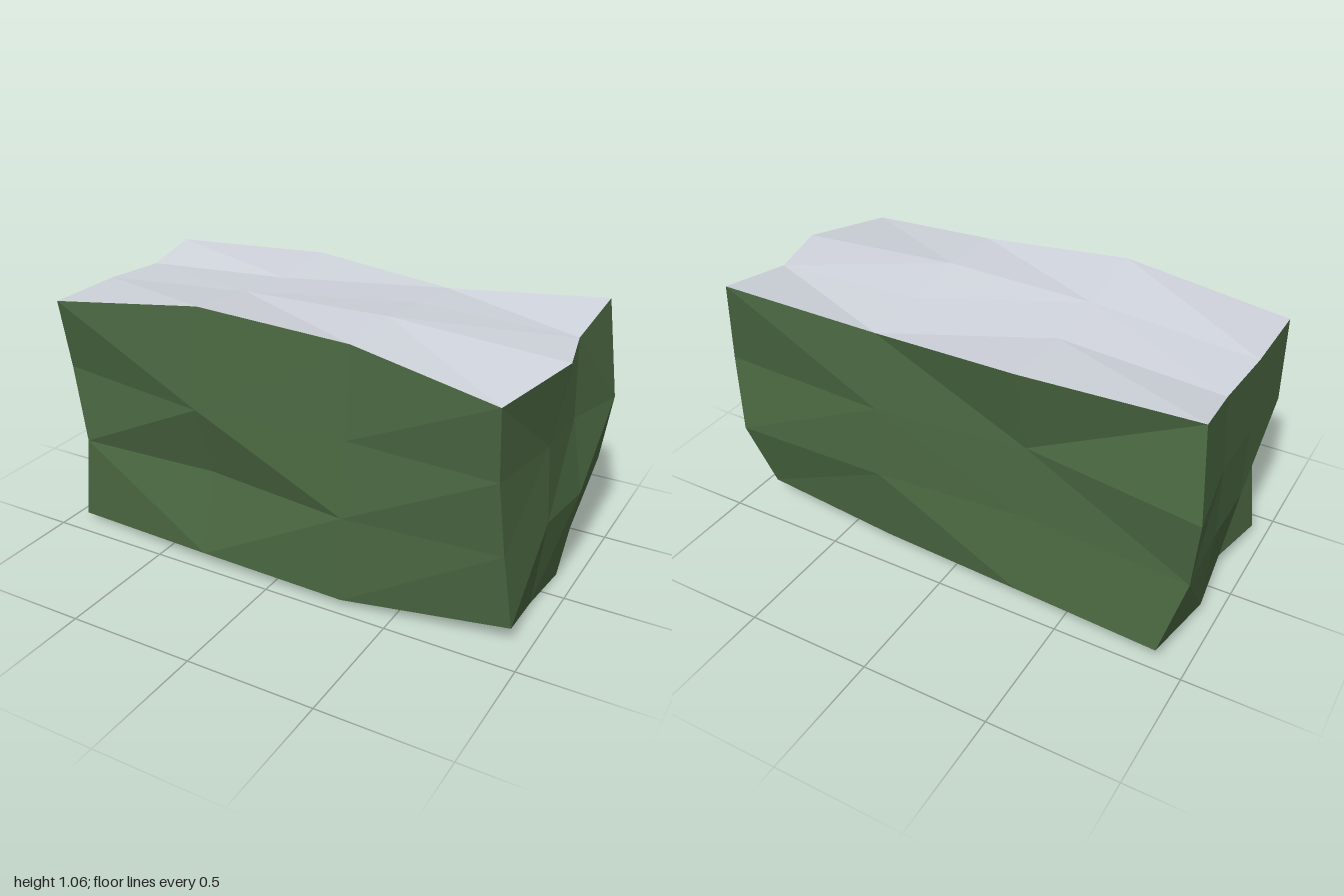
import * as THREE from 'three';

// Regular grid positions along x, y and z
const GRID = [
  [-0.95, -0.3, 0.3, 0.95],
  [0.03, 0.375, 0.67, 1],
  [-0.43, -0.14, 0.12, 0.43],
];

// Rough depth of each side over its 4 x 4 grid points
const RIGHT_END = [ // x, rows from bottom to top, each back to front
  -0.89, -0.93, -0.9, -0.94,
  -0.97, -0.95, -0.95, -0.89,
  -1, -0.95, -0.95, -0.97,
  -0.95, -0.93, -0.95, -0.95,
];
const LEFT_END = [
  0.89, 0.92, 0.91, 0.93,
  0.95, 0.98, 0.95, 0.9,
  1, 0.93, 0.93, 0.88,
  0.93, 0.92, 0.98, 0.88,
];
const BOTTOM = [ // y, rows from back to front, each from -x to +x
  0.07, 0.06, 0.05, 0.08,
  0.03, 0.03, 0.03, 0,
  0.06, 0.03, 0.03, 0.02,
  0.02, 0.05, 0.03, 0.07,
];
const TOP = [
  1, 1.02, 0.98, 1.03,
  0.96, 1, 1, 0.98,
  0.97, 1.02, 1.03, 0.99,
  0.97, 1.06, 1.02, 0.95,
];
const BACK = [ // z, rows from -x to +x, each bottom to top
  -0.48, -0.43, -0.47, -0.38,
  -0.44, -0.39, -0.37, -0.45,
  -0.4, -0.44, -0.43, -0.4,
  -0.37, -0.45, -0.4, -0.46,
];
const FRONT = [
  0.41, 0.42, 0.38, 0.45,
  0.47, 0.39, 0.48, 0.44,
  0.46, 0.46, 0.43, 0.4,
  0.37, 0.41, 0.45, 0.48,
];
const SIDES = [[RIGHT_END, LEFT_END], [BOTTOM, TOP], [BACK, FRONT]];

// A point is pushed only along the axes of the sides it lies on
function gridPoint(index) {
  const coords = index.map((n, axis) => {
    if (n === 1 || n === 2) return GRID[axis][n];
    return SIDES[axis][n / 3][index[(axis + 1) % 3] * 4 + index[(axis + 2) % 3]];
  });
  return new THREE.Vector3(...coords);
}

// One side of the block: nine quads, each split along its shorter diagonal
function addSide(out, axis, level) {
  const u = (axis + 1) % 3, v = (axis + 2) % 3;
  for (let s = 0; s < 3; s++) {
    for (let t = 0; t < 3; t++) {
      const quad = [[0, 0], [1, 0], [1, 1], [0, 1]].map(([ds, dt]) => {
        const index = [];
        index[axis] = level;
        index[u] = s + ds;
        index[v] = t + dt;
        return gridPoint(index);
      });
      if (level === 0) quad.reverse();
      const [a, b, c, d] = quad;
      const corners = a.distanceTo(c) <= b.distanceTo(d) ? [a, b, c, a, c, d] : [a, b, d, b, c, d];
      for (const p of corners) out.push(p.x, p.y, p.z);
    }
  }
}

function buildPart(name, material, sides) {
  const positions = [];
  for (const [axis, level] of sides) addSide(positions, axis, level);
  const geometry = new THREE.BufferGeometry();
  geometry.setAttribute('position', new THREE.Float32BufferAttribute(positions, 3));
  geometry.computeVertexNormals(); // unshared corners give flat facets
  const mesh = new THREE.Mesh(geometry, material);
  mesh.name = name;
  return mesh;
}

export function createModel() {
  const green = new THREE.MeshStandardMaterial({ color: 0x4a6741 });
  green.name = 'moss green';
  const grey = new THREE.MeshStandardMaterial({ color: 0xd0d4dc });
  grey.name = 'pale grey';

  const model = new THREE.Group();
  model.name = 'roughBlock';
  // Green ends, underside, back and front
  model.add(buildPart('blockBody', green, [[0, 0], [0, 3], [1, 0], [2, 0], [2, 3]]));
  // Pale top surface
  model.add(buildPart('blockTop', grey, [[1, 3]]));
  return model;
}
